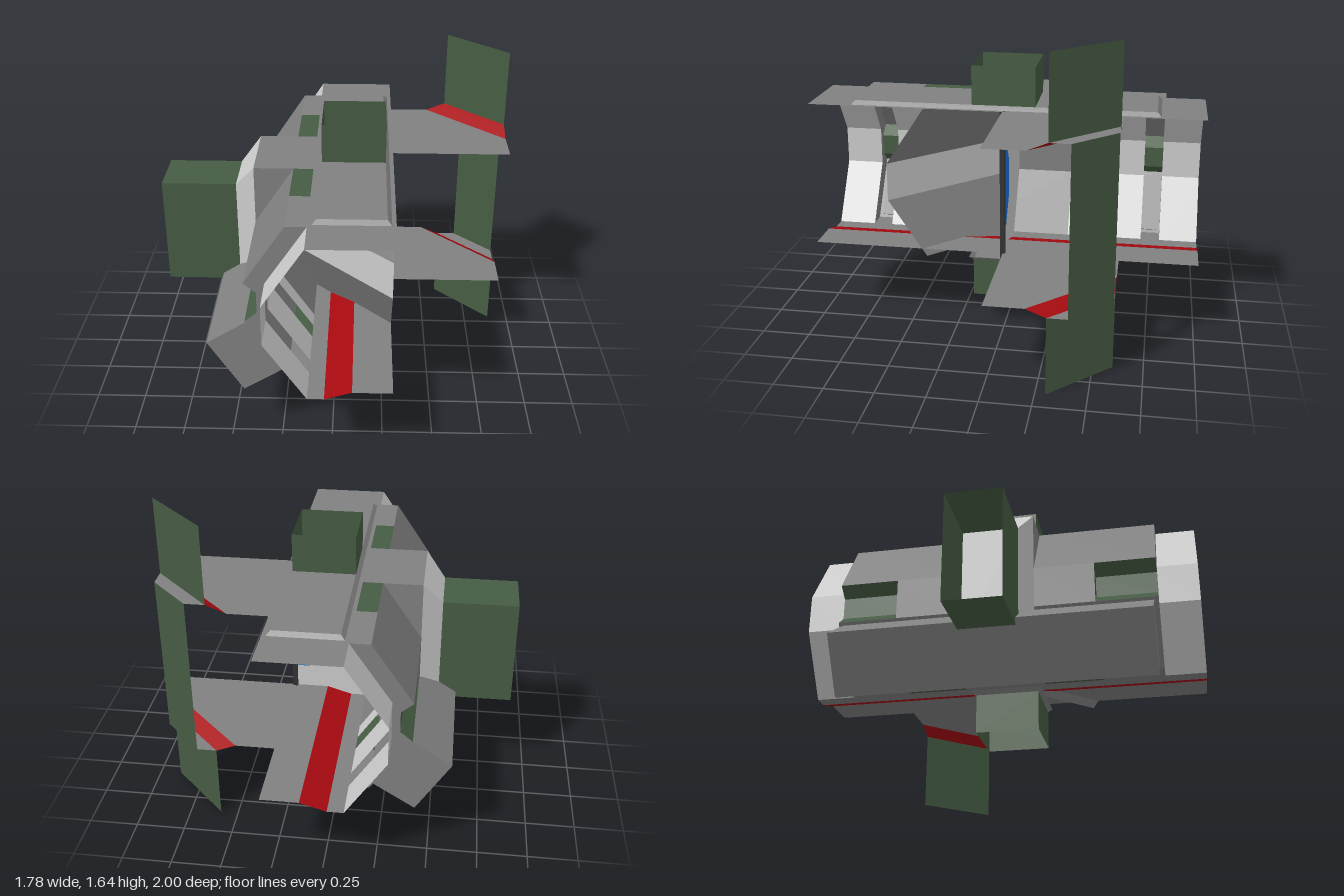
import * as THREE from 'three';

const GREY = 0x808080, LIGHT = 0xc4c4c4, GREEN = 0x465c43, RED = 0xa80a10, BLUE = 0x1478d8;

export function createModel() {
  const model = new THREE.Group();
  const add = (name, geo, color = GREY) => {
    const mat = new THREE.MeshStandardMaterial({ color, side: THREE.DoubleSide, flatShading: true });
    const mesh = new THREE.Mesh(geo, mat);
    mesh.name = name;
    model.add(mesh);
    return mesh;
  };

  // flat convex sheet through corner points
  const sheet = (name, pts, color) => {
    const pos = [];
    for (let i = 1; i < pts.length - 1; i++) pos.push(...pts[0], ...pts[i], ...pts[i + 1]);
    const geo = new THREE.BufferGeometry();
    geo.setAttribute('position', new THREE.Float32BufferAttribute(pos, 3));
    geo.computeVertexNormals();
    return add(name, geo, color);
  };

  // folded sheet: an x,y profile (top to bottom) swept along z
  const strip = (name, profile, z0, z1, color) => {
    for (let i = 0; i < profile.length - 1; i++) {
      const a = profile[i], b = profile[i + 1];
      sheet(name, [[...a, z0], [...a, z1], [...b, z1], [...b, z0]], color);
    }
  };

  const shapeOf = pts => new THREE.Shape(pts.map(p => new THREE.Vector2(...p)));

  // solid whose x,y profile is extruded from z0 to z1
  const prism = (name, pts, z0, z1, color) => {
    const geo = new THREE.ExtrudeGeometry(shapeOf(pts), { depth: z1 - z0, bevelEnabled: false });
    geo.translate(0, 0, z0);
    return add(name, geo, color);
  };

  // frustum between two rectangles [u0,u1,v0,v1]; place(u, v, end) gives a point
  const frustum = (name, ra, rb, place, color, cap = true) => {
    const ring = (r, e) => [[0, 2], [1, 2], [1, 3], [0, 3]].map(([i, j]) => place(r[i], r[j], e));
    const A = ring(ra, 0), B = ring(rb, 1);
    for (let i = 0; i < 4; i++) {
      const j = (i + 1) % 4;
      // outward order, so that the shading side is consistent
      sheet(name, [A[i], A[j], B[j], B[i]], color);
    }
    if (cap) sheet(name, B, color);
  };

  // channel back: light ribs with gaps, and a plain wall in the middle
  const inner = [[-0.11, 1.2], [-0.31, 0.9], [-0.31, 0.7], [-0.11, 0.4]];
  for (const s of [1, -1])
    for (const [a, b] of [[0.8, 1], [0.5, 0.7], [0.3, 0.4]]) {
      const [z0, z1] = s > 0 ? [a, b] : [-b, -a];
      strip('rib', inner, z0, z1, LIGHT);
    }
  strip('centreWall', inner, -0.3, 0.3);

  // roof and stepped floor
  strip('roof', [[-0.11, 1.2], [0.29, 1.2]], -1, 1);
  strip('floor', [[0.29, 0.44], [0.1, 0.44]], -1, 1);
  strip('floorStripe', [[0.1, 0.44], [-0.03, 0.4]], -1, 1, RED);
  strip('floorEdge', [[-0.03, 0.4], [-0.11, 0.4]], -1, 1);

  // outer shells with a green-lined notch, one on each side of the centre block
  const notch = [[-0.41, 0.9], [-0.35, 0.85], [-0.35, 0.74], [-0.41, 0.69]];
  for (const s of [1, -1]) {
    const span = (a, b) => (s > 0 ? [a, b] : [-b, -a]);
    strip('outerShellTop', [[-0.21, 1.2], [-0.41, 0.9]], ...span(0.2, 0.8));
    strip('outerShellBottom', [[-0.41, 0.69], [-0.21, 0.4]], ...span(0.2, 0.8));
    strip('outerShellSide', [[-0.41, 0.9], [-0.41, 0.69]], ...span(0.2, 0.5));
    strip('notchLining', notch, ...span(0.5, 0.8), GREEN);
    sheet('notchEnd', notch.map(p => [...p, s * 0.5]), GREEN);
    for (const y of [1.2, 0.4]) {
      strip('shellLedge', [[-0.21, y], [-0.11, y]], ...span(0.5, 0.8));
      strip('shellWindow', [[-0.21, y], [-0.11, y]], ...span(0.2, 0.5), GREEN);
    }
    const cap = new THREE.ShapeGeometry(shapeOf([[-0.21, 1.2], ...notch, [-0.21, 0.4], ...[...inner].reverse()]));
    add('shellEnd', cap).position.z = s * 0.8;
  }

  // centre block, its taper and the rear duct
  prism('centreBlock', [[-0.11, 1.2], [-0.41, 1.2], [-0.41, 0.4], [-0.11, 0.4], [-0.315, 0.7], [-0.315, 0.9]], -0.2, 0.2);
  frustum('ductTaper', [0.4, 1.2, -0.2, 0.2], [0.52, 1.08, -0.14, 0.14],
    (y, z, e) => [e ? -0.51 : -0.41, y, z], LIGHT);
  frustum('rearDuct', [0.52, 1.08, -0.14, 0.14], [0.52, 1.08, -0.14, 0.14],
    (y, z, e) => [e ? -0.89 : -0.51, y, z], GREEN, false);

  // tilted long box under the shells
  prism('tiltedBox', [[-0.6, 0.55], [-0.43, 0.28], [-0.21, 0.42], [-0.38, 0.69]], -0.78, 0.78);

  // panels carrying open square ducts: a long one above, a small one below
  for (const [y0, y1, y2, len] of [[1.2, 1.22, 1.42, 0.78], [0.4, 0.38, 0.18, 0.18]]) {
    frustum('ductPanel', [-0.09, 0.27, -len, len], [-0.07, 0.25, 0.02 - len, len - 0.02],
      (x, z, e) => [x, e ? y1 : y0, z]);
    const r = [-0.07, 0.25, -0.16, 0.16];
    frustum('squareDuct', r, r, (x, z, e) => [x, e ? y2 : y1, z], GREEN, false);
  }

  // three-band screen running diagonally from the wall to the open side
  for (let i = 0; i < 3; i++) {
    const [[xa, ya], [xb, yb]] = [inner[i], inner[i + 1]];
    sheet('diagonalScreen', [[xa, ya, 0], [xb, yb, 0], [0.29, yb, 0.29 - xb], [0.29, ya, 0.29 - xa]],
      i === 1 ? LIGHT : GREY);
  }

  // dividing wall with blue window, and the post at its edge
  add('dividingWall', new THREE.ShapeGeometry(shapeOf([...inner, [0.28, 0.4], [0.28, 1.2]])), LIGHT);
  for (const z of [0.006, -0.006])
    sheet('window', [[0.28, 1.03, z], [0.2, 1.03, z], [0.1, 0.89, z], [0.1, 0.71, z], [0.2, 0.57, z], [0.28, 0.57, z]], BLUE);
  add('post', new THREE.BoxGeometry(0.025, 0.8, 0.025), 0x333333).position.set(0.278, 0.8, 0);

  // wing plates with red ramps and diagonal fins, mirrored about mid height
  for (const up of [true, false]) {
    const at = (x, y, z) => [x, up ? y : 1.64 - y, z];
    sheet('wingPlate', [at(0.29, 1.2, 0), at(0.89, 1.2, 0), at(0.89, 1.2, -0.2), at(0.49, 1.2, -0.6), at(0.29, 1.2, -0.6)]);
    sheet('wingStripe', [at(0.49, 1.2, -0.6), at(0.89, 1.2, -0.2), at(0.89, 1.24, -0.3), at(0.59, 1.24, -0.6)], RED);
    sheet('wingTip', [at(0.59, 1.24, -0.6), at(0.89, 1.24, -0.3), at(0.89, 1.24, -0.4), at(0.69, 1.24, -0.6)]);
    sheet('fin', [at(0.59, 1.24, -0.6), at(0.89, 1.24, -0.3), at(0.89, 1.64, -0.3), at(0.59, 1.64, -0.6)], GREEN);
  }
  sheet('finBridge', [[0.69, 0.4, -0.6], [0.89, 0.4, -0.4], [0.89, 1.24, -0.4], [0.69, 1.24, -0.6]], GREEN);

  return model;
}
